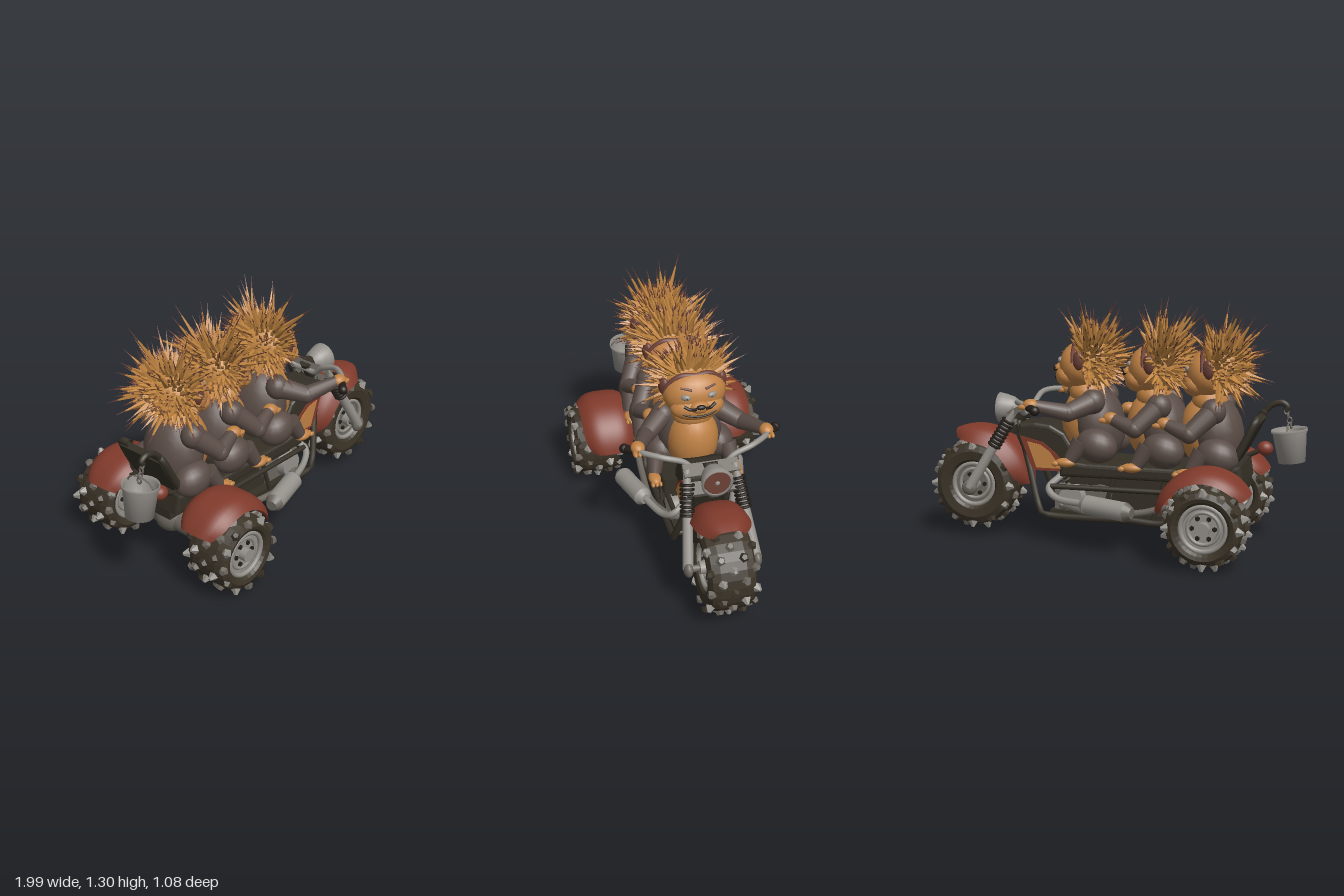
import * as THREE from 'three';
import { mergeGeometries } from 'three/addons/utils/BufferGeometryUtils.js';

const V = (x, y, z) => new THREE.Vector3(x, y, z);
const mat = (name, color, side = THREE.FrontSide) => Object.assign(new THREE.MeshStandardMaterial({ color, side }), { name });
const M = {
  rubber: mat('rubber', 0x3b3327), frame: mat('dark frame', 0x353026, THREE.DoubleSide),
  red: mat('rusty red', 0x803a2b, THREE.DoubleSide), tan: mat('tan skin', 0xbf8144),
  fur: mat('grey brown fur', 0x5a4c46), quill: mat('golden quill', 0xc08440),
  metal: mat('metal', 0x94908a, THREE.DoubleSide), brown: mat('brown', 0x6c4036),
  black: mat('black', 0x241e19), dull: mat('dull metal', 0x6c665e),
};
let seed = 7;
const rnd = () => ((seed = (seed * 16807) % 2147483647) / 2147483647);

function add(parent, name, geo, material, p = [0, 0, 0], r = [0, 0, 0], s = [1, 1, 1]) {
  const m = new THREE.Mesh(geo, material);
  m.name = name;
  m.position.set(...p); m.rotation.set(...r); m.scale.set(...s);
  parent.add(m);
  return m;
}
const facet = (g) => { const f = g.index ? g.toNonIndexed() : g; f.computeVertexNormals(); return f; };
const ball = (parent, name, m, p, s, r) => add(parent, name, new THREE.SphereGeometry(1, 18, 12), m, p, r, s);
const box = (parent, name, m, p, s, r) => add(parent, name, new THREE.BoxGeometry(...s), m, p, r);
// Tapered stick between two points
function stick(a, b, ra, rb = ra, n = 10, open = false) {
  const d = b.clone().sub(a), g = new THREE.CylinderGeometry(rb, ra, d.length(), n, 1, open);
  g.applyQuaternion(new THREE.Quaternion().setFromUnitVectors(V(0, 1, 0), d.normalize()));
  return g.translate((a.x + b.x) / 2, (a.y + b.y) / 2, (a.z + b.z) / 2);
}
const rod = (parent, name, m, a, b, ra, rb, n) => add(parent, name, stick(V(...a), V(...b), ra, rb, n), m);
const tube = (parent, name, m, pts, r) => add(parent, name,
  new THREE.TubeGeometry(new THREE.CatmullRomCurve3(pts.map((p) => V(...p)), false, 'catmullrom', 0.5), 28, r, 8), m);

// Studded wheel with its axle along z
function wheel(name, R, w, p, discMat) {
  const g = new THREE.Group();
  g.name = name; g.position.set(...p);
  const pts = [[0.11, -0.72], [0.135, -0.95], [R * 0.8, -1], [R * 0.94, -0.88], [R, -0.55], [R, 0.55], [R * 0.94, 0.88], [R * 0.8, 1], [0.135, 0.95], [0.11, 0.72]]
    .map(([r, z]) => new THREE.Vector2(r, z * w));
  add(g, 'tire', facet(new THREE.LatheGeometry(pts, 30)).rotateX(Math.PI / 2), M.rubber);
  const studs = [[], [], []];
  [-0.92, -0.48, 0, 0.48, 0.92].forEach((v, j) => {
    const n = 12, edge = Math.abs(v) > 0.8;
    for (let i = 0; i < n; i++) {
      const a = ((i + (j % 2) / 2) / n) * Math.PI * 2, r = edge ? R * 0.9 : R * 0.985, kind = (i + j) % 3;
      const d = V(Math.cos(a), Math.sin(a), edge ? Math.sign(v) * 0.45 : 0).normalize();
      const c = V(Math.cos(a) * r, Math.sin(a) * r, v * w);
      studs[kind].push(stick(c, c.clone().addScaledVector(d, kind ? 0.022 : 0.032), 0.026, kind ? 0.015 : 0.008, 5));
    }
  });
  add(g, 'metalStuds', facet(mergeGeometries(studs[0])), M.metal);
  add(g, 'wornStuds', facet(mergeGeometries(studs[1])), M.dull);
  add(g, 'treadLugs', facet(mergeGeometries(studs[2])), M.rubber);
  for (const s of [-1, 1]) {
    add(g, 'rimRing', new THREE.TorusGeometry(0.112, 0.013, 8, 30), M.metal, [0, 0, s * w * 0.78]);
    add(g, 'rimDisc', new THREE.CylinderGeometry(0.11, 0.11, 0.02, 28), discMat, [0, 0, s * w * 0.6], [Math.PI / 2, 0, 0]);
    add(g, 'innerRing', new THREE.TorusGeometry(0.08, 0.01, 6, 24), M.metal, [0, 0, s * w * 0.68]);
    add(g, 'hub', new THREE.CylinderGeometry(0.034, 0.034, 0.06, 14), M.metal, [0, 0, s * w * 0.75], [Math.PI / 2, 0, 0]);
    for (let i = 0; i < 6; i++) {
      const a = (i / 6) * Math.PI * 2;
      add(g, 'lugNut', new THREE.CylinderGeometry(0.012, 0.012, 0.02, 6), M.black, [Math.cos(a) * 0.056, Math.sin(a) * 0.056, s * w * 0.68], [Math.PI / 2, 0, 0]);
    }
  }
  return g;
}

// Curved mudguard sheet over a wheel centre
function fender(R, w, a0, a1, drop, taper) {
  const g = new THREE.PlaneGeometry(1, 1, 24, 14), q = g.attributes.position;
  for (let i = 0; i < q.count; i++) {
    const u = q.getX(i) + 0.5, v = q.getY(i) * 2, a = THREE.MathUtils.degToRad(a0 + (a1 - a0) * u);
    const k = 1 - taper * Math.pow(Math.abs(2 * u - 1), 5);
    const r = R - drop * k * Math.pow(Math.abs(v), 3.5);
    q.setXYZ(i, Math.cos(a) * r, Math.sin(a) * r, v * w * k);
  }
  g.computeVertexNormals();
  return g;
}

// Spiny rider facing +x; headX slides the head along the body
function rider(name, x, y, headX, driving) {
  const g = new THREE.Group(), head = new THREE.Group();
  g.name = name; g.position.set(x, y, 0);
  head.name = 'headGroup'; head.position.x = headX;
  g.add(head);
  ball(g, 'torso', M.fur, [0.072, 0.625, 0], [0.135, 0.2, 0.168], [0, 0, -0.16]);
  ball(g, 'belly', M.tan, [0.135, 0.63, 0], [0.135, 0.185, 0.135], [0, 0, -0.05]);
  ball(g, 'neck', M.tan, [0.135 + headX / 2, 0.79, 0], [0.095, 0.08, 0.11]);
  ball(head, 'skull', M.tan, [0.165, 0.93, 0], [0.115, 0.125, 0.163]);
  ball(head, 'muzzle', M.tan, [0.225, 0.878, 0], [0.075, 0.07, 0.138]);
  ball(head, 'snout', M.tan, [0.28, 0.905, 0], [0.035, 0.032, 0.05]);
  ball(head, 'nose', M.black, [0.31, 0.92, 0], [0.013, 0.013, 0.024]);
  tube(head, 'mouth', M.black, [[0.25, 0.888, -0.118], [0.287, 0.868, -0.07], [0.301, 0.862, 0], [0.287, 0.868, 0.07], [0.25, 0.888, 0.118]], 0.005);
  ball(head, 'quillCap', M.quill, [0.095, 0.95, 0], [0.125, 0.135, 0.163]);
  tube(head, 'hairline', M.brown, [[0.17, 0.95, -0.152], [0.175, 0.99, -0.135], [0.185, 1.035, -0.075], [0.195, 1.037, 0], [0.185, 1.035, 0.075], [0.175, 0.99, 0.135], [0.17, 0.95, 0.152]], 0.014);
  for (const s of [-1, 1]) {
    ball(head, 'ear', M.brown, [0.145, 0.965, s * 0.15], [0.036, 0.05, 0.022], [0, s * 0.5, 0]);
    ball(head, 'eye', M.metal, [0.264, 0.958, s * 0.067], [0.014, 0.016, 0.025], [0, -s * 0.4, 0]);
    ball(head, 'pupil', M.black, [0.276, 0.957, s * 0.062], [0.004, 0.006, 0.006]);
    rod(head, 'brow', M.brown, [0.262, 0.995, s * 0.035], [0.243, 1.004, s * 0.09], 0.007, 0.005, 6);
    tube(head, 'whiskerLine', M.black, [[0.31, 0.912, s * 0.02], [0.296, 0.905, s * 0.05], [0.282, 0.918, s * 0.08]], 0.008);
    // Legs
    ball(g, 'thigh', M.fur, [0.045, 0.53, s * 0.155], [0.11, 0.09, 0.085], [0, 0, 0.25]);
    rod(g, 'shin', M.fur, [0.115, 0.55, s * 0.19], [0.17, 0.46, s * 0.21], 0.052, 0.035, 12);
    ball(g, 'foot', M.tan, [0.195, 0.445, s * 0.215], [0.055, 0.024, 0.032]);
    for (let i = -1; i <= 1; i++) ball(g, 'toe', M.tan, [0.245, 0.44, s * 0.215 + i * 0.02], [0.018, 0.013, 0.01]);
    // Arms
    const sh = [0.07, 0.755, s * 0.14];
    const el = driving ? [0.17, 0.71, s * 0.25] : [0.18, 0.645, s * 0.215];
    const ha = driving ? [0.34, 0.755, s * 0.33] : [0.31, 0.69, s * 0.185];
    ball(g, 'shoulder', M.fur, sh, [0.065, 0.065, 0.06]);
    rod(g, 'upperArm', M.fur, sh, el, 0.058, 0.045, 14);
    ball(g, 'elbow', M.fur, el, [0.046, 0.046, 0.046]);
    rod(g, 'forearm', M.fur, el, ha, 0.045, 0.03, 14);
    ball(g, 'hand', M.tan, ha, [0.042, 0.032, 0.036]);
    for (let i = -1; i <= 1; i++) ball(g, 'finger', M.tan, [ha[0] + 0.035, ha[1] - 0.01, ha[2] + i * 0.02], [0.028, 0.014, 0.012]);
  }
  // Quills spread over the crown, sides and nape
  const gold = [], tips = [], N = 600;
  for (let i = 0; i < N; i++) {
    const h = 1 - (2 * (i + 0.5)) / N, a = i * 2.39996, k = Math.sqrt(1 - h * h);
    const d = V(k * Math.cos(a), h, k * Math.sin(a));
    if (d.x > -0.02 + 0.55 * Math.max(0, d.y) || d.y < -0.72) continue;
    const o = V(0.115 + d.x * 0.11, 0.95 + d.y * 0.12, d.z * 0.145);
    const up = Math.max(0, d.y);
    d.add(V(rnd() - 0.6, rnd() - 0.45, rnd() - 0.5).multiplyScalar(0.55)).normalize();
    const long = rnd();
    const L = (0.045 + 0.035 * long + 0.075 * long ** 6) * (1 + 0.4 * up);
    const mid = o.clone().addScaledVector(d, L * 0.92);
    gold.push(stick(o, mid, 0.017, 0.004, 4, true));
    tips.push(stick(mid, o.clone().addScaledVector(d, L * 1.3), 0.004, 0.0003, 4, true));
  }
  add(head, 'quills', facet(mergeGeometries(gold)), M.quill);
  add(head, 'quillTips', facet(mergeGeometries(tips)), M.brown);
  return g;
}

function extrudeSide(pts, half, bevel) {
  const s = new THREE.Shape(pts.map((p) => new THREE.Vector2(...p)));
  return new THREE.ExtrudeGeometry(s, { depth: 2 * (half - bevel), bevelEnabled: bevel > 0, bevelSize: bevel, bevelThickness: bevel, bevelSegments: 3 }).translate(0, 0, -(half - bevel));
}

export function createModel() {
  const root = new THREE.Group();
  root.name = 'spinyRidersTrike';

  // Wheels and mudguards
  root.add(wheel('frontWheel', 0.225, 0.12, [0.745, 0.278, 0], M.dull));
  add(root, 'frontFender', fender(0.307, 0.145, 68, 180, 0.085, 0.45), M.red, [0.745, 0.285, 0]);
  for (const s of [-1, 1]) {
    root.add(wheel('rearWheel', 0.193, 0.125, [-0.58, 0.213, s * 0.4], M.metal));
    add(root, 'rearFender', fender(0.256, 0.145, 8, 150, 0.055, 0.3), M.red, [-0.565, 0.228, s * 0.335]);
  }
  rod(root, 'rearAxle', M.dull, [-0.585, 0.22, -0.3], [-0.585, 0.22, 0.3], 0.055, 0.055, 16);
  ball(root, 'differential', M.dull, [-0.585, 0.23, 0], [0.085, 0.085, 0.09]);

  // Frame, floor and bench
  box(root, 'floorPan', M.frame, [-0.12, 0.16, 0], [0.85, 0.025, 0.27]);
  box(root, 'seatBase', M.frame, [-0.26, 0.345, 0], [0.92, 0.06, 0.25]);
  add(root, 'bench', extrudeSide([[-0.7, 0.38], [-0.69, 0.44], [-0.4, 0.41], [0.1, 0.415], [0.22, 0.43], [0.22, 0.38]], 0.18, 0.02), M.frame);
  box(root, 'backrest', M.frame, [-0.71, 0.56, 0], [0.035, 0.28, 0.28], [0, 0, 0.5]);
  for (const s of [-1, 1]) {
    tube(root, 'mainRail', M.frame, [[0.51, 0.62, s * 0.04], [0.43, 0.4, s * 0.1], [0.36, 0.19, s * 0.15], [0.29, 0.145, s * 0.15], [-0.1, 0.145, s * 0.15], [-0.34, 0.15, s * 0.15], [-0.4, 0.33, s * 0.13]], 0.018);
    rod(root, 'sideRail', M.frame, [-0.35, 0.3, s * 0.14], [0.3, 0.3, s * 0.14], 0.014);
    tube(root, 'backrestBar', M.frame, [[-0.63, 0.42, s * 0.15], [-0.7, 0.54, s * 0.15], [-0.77, 0.68, s * 0.14], [-0.77, 0.69, s * 0.08]], 0.02);
    for (const x of [-0.25, 0.02]) rod(root, 'frameStrut', M.frame, [x, 0.15, s * 0.14], [x - 0.06, 0.36, s * 0.13], 0.012);
    rod(root, 'fenderStay', M.dull, [-0.57, 0.36, s * 0.1], [-0.57, 0.43, s * 0.28], 0.016);
  }
  for (const x of [-0.3, -0.08, 0.14, 0.3]) rod(root, 'crossTube', M.frame, [x, 0.145, -0.15], [x, 0.145, 0.15], 0.014);

  // Tank with painted side panels
  add(root, 'tank', extrudeSide([[0.18, 0.4], [0.2, 0.48], [0.25, 0.56], [0.32, 0.598], [0.4, 0.607], [0.47, 0.6], [0.48, 0.55], [0.41, 0.39]], 0.105, 0.02), M.frame);
  for (const s of [-1, 1]) {
    add(root, 'tankPanel', extrudeSide([[0.2, 0.375], [0.28, 0.47], [0.35, 0.525], [0.475, 0.555], [0.41, 0.375]], 0.004, 0), M.red, [0, 0, s * 0.108]);
    add(root, 'tankPatch', extrudeSide([[0.25, 0.39], [0.31, 0.475], [0.365, 0.513], [0.435, 0.527], [0.385, 0.39]], 0.003, 0), M.tan, [0, 0, s * 0.114]);
  }

  // Engine
  box(root, 'crankcase', M.dull, [0.16, 0.23, 0], [0.26, 0.12, 0.2]);
  box(root, 'gearbox', M.frame, [-0.12, 0.25, 0], [0.28, 0.13, 0.2]);
  for (const s of [-1, 1]) {
    const cyl = new THREE.Group();
    cyl.name = 'engineCylinder'; cyl.position.set(0.16, 0.24, 0); cyl.rotation.z = -s * 0.6;
    root.add(cyl);
    for (let i = 0; i < 6; i++) add(cyl, 'coolingFin', new THREE.CylinderGeometry(0.068, 0.068, 0.01, 18), M.dull, [0, 0.05 + i * 0.02, 0]);
    add(cyl, 'barrel', new THREE.CylinderGeometry(0.052, 0.052, 0.16, 14), M.frame, [0, 0.08, 0]);
    add(cyl, 'cylinderHead', new THREE.CylinderGeometry(0.05, 0.066, 0.03, 14), M.metal, [0, 0.17, 0]);
    add(root, 'engineCover', new THREE.CylinderGeometry(0.065, 0.075, 0.05, 18), M.metal, [0.19, 0.24, s * 0.12], [s * Math.PI / 2, 0, 0]);
    add(root, 'gearCover', new THREE.CylinderGeometry(0.05, 0.055, 0.04, 16), M.dull, [0.03, 0.27, s * 0.115], [s * Math.PI / 2, 0, 0]);
    // Exhaust
    tube(root, 'exhaustPipe', M.metal, [[0.27, 0.34, s * 0.06], [0.31, 0.29, s * 0.14], [0.24, 0.245, s * 0.19], [0.08, 0.24, s * 0.25]], 0.018);
    rod(root, 'muffler', M.metal, [0.07, 0.24, s * 0.255], [-0.15, 0.228, s * 0.315], 0.05, 0.05, 16);
    rod(root, 'mufflerFront', M.metal, [0.1, 0.242, s * 0.245], [0.07, 0.24, s * 0.255], 0.028, 0.05, 16);
    rod(root, 'mufflerTail', M.dull, [-0.15, 0.228, s * 0.315], [-0.185, 0.226, s * 0.325], 0.05, 0.028, 16);
    tube(root, 'lowerPipe', M.dull, [[0.25, 0.2, s * 0.12], [0.05, 0.185, s * 0.2], [-0.2, 0.2, s * 0.2], [-0.36, 0.25, s * 0.19]], 0.018);
  }

  // Fork, springs and handlebar
  for (const s of [-1, 1]) {
    const top = V(0.495, 0.7, s * 0.12), end = V(0.74, 0.275, s * 0.175), at = (t) => top.clone().lerp(end, t);
    add(root, 'forkTube', stick(top, at(0.5), 0.02), M.metal);
    add(root, 'forkLeg', stick(at(0.48), end, 0.026, 0.028, 12), M.metal);
    for (let i = 0; i < 8; i++) {
      const c = add(root, 'springCoil', new THREE.TorusGeometry(0.031, 0.008, 6, 16), M.black, at(0.16 + i * 0.043).toArray());
      c.lookAt(end);
    }
    ball(root, 'axleCap', M.dull, end.toArray(), [0.042, 0.042, 0.025]);
    tube(root, 'handlebar', M.metal, [[0.47, 0.67, 0], [0.47, 0.67, s * 0.07], [0.46, 0.72, s * 0.13], [0.45, 0.75, s * 0.22], [0.4, 0.755, s * 0.3], [0.35, 0.745, s * 0.34]], 0.015);
    rod(root, 'grip', M.black, [0.37, 0.75, s * 0.32], [0.3, 0.735, s * 0.39], 0.021, 0.021, 12);
    ball(root, 'gripEnd', M.black, [0.3, 0.735, s * 0.39], [0.025, 0.025, 0.025]);
  }
  rod(root, 'frontAxle', M.dull, [0.742, 0.275, -0.18], [0.742, 0.275, 0.18], 0.018);
  box(root, 'upperClamp', M.dull, [0.5, 0.685, 0], [0.07, 0.03, 0.28], [0, 0, -0.5]);
  box(root, 'lowerClamp', M.dull, [0.545, 0.605, 0], [0.07, 0.03, 0.28], [0, 0, -0.5]);
  rod(root, 'steeringNeck', M.frame, [0.48, 0.71, 0], [0.56, 0.56, 0], 0.04);

  // Headlight
  const lamp = [[0.001, -0.1], [0.03, -0.09], [0.06, -0.05], [0.074, 0], [0.08, 0.03], [0.068, 0.034]].map((p) => new THREE.Vector2(...p));
  add(root, 'headlightShell', new THREE.LatheGeometry(lamp, 24), M.metal, [0.595, 0.685, 0], [0, 0, -Math.PI / 2]);
  rod(root, 'headlightLens', M.brown, [0.61, 0.685, 0], [0.626, 0.685, 0], 0.068, 0.064, 24);
  ball(root, 'headlightBulb', M.metal, [0.626, 0.685, 0], [0.006, 0.012, 0.012]);

  // Tail lamp, hook, chain and bucket
  rod(root, 'tailLampStalk', M.frame, [-0.69, 0.46, 0.13], [-0.77, 0.5, 0.13], 0.013);
  ball(root, 'tailLamp', M.red, [-0.785, 0.505, 0.13], [0.042, 0.038, 0.038]);
  tube(root, 'hook', M.frame, [[-0.76, 0.67, 0.13], [-0.81, 0.73, 0.13], [-0.865, 0.748, 0.13], [-0.895, 0.73, 0.13], [-0.89, 0.71, 0.13]], 0.016);
  for (let i = 0; i < 4; i++) add(root, 'chainLink', new THREE.TorusGeometry(0.016, 0.005, 6, 12), M.dull, [-0.892 - i * 0.008, 0.705 - i * 0.024, 0.13], [0, i * 1.57, 0], [0.75, 1, 1]);
  const pail = new THREE.Group();
  pail.name = 'bucket'; pail.position.set(-0.925, 0.44, 0.13); pail.rotation.z = -0.1;
  root.add(pail);
  const wall = [[0.001, 0], [0.07, 0], [0.088, 0.155], [0.095, 0.158], [0.093, 0.174], [0.083, 0.158], [0.065, 0.01], [0.001, 0.01]].map((p) => new THREE.Vector2(...p));
  add(pail, 'bucketWall', new THREE.LatheGeometry(wall, 22), M.metal);
  add(pail, 'bucketHandle', new THREE.TorusGeometry(0.088, 0.005, 6, 20, Math.PI), M.dull, [0, 0.16, 0], [0, Math.PI / 2, 0], [1, 0.5, 1]);

  // Three riders in a row
  root.add(rider('driver', 0, 0, 0, true));
  root.add(rider('middleRider', -0.35, -0.01, -0.02, false));
  root.add(rider('rearRider', -0.63, -0.025, -0.045, false));
  return root;
}
